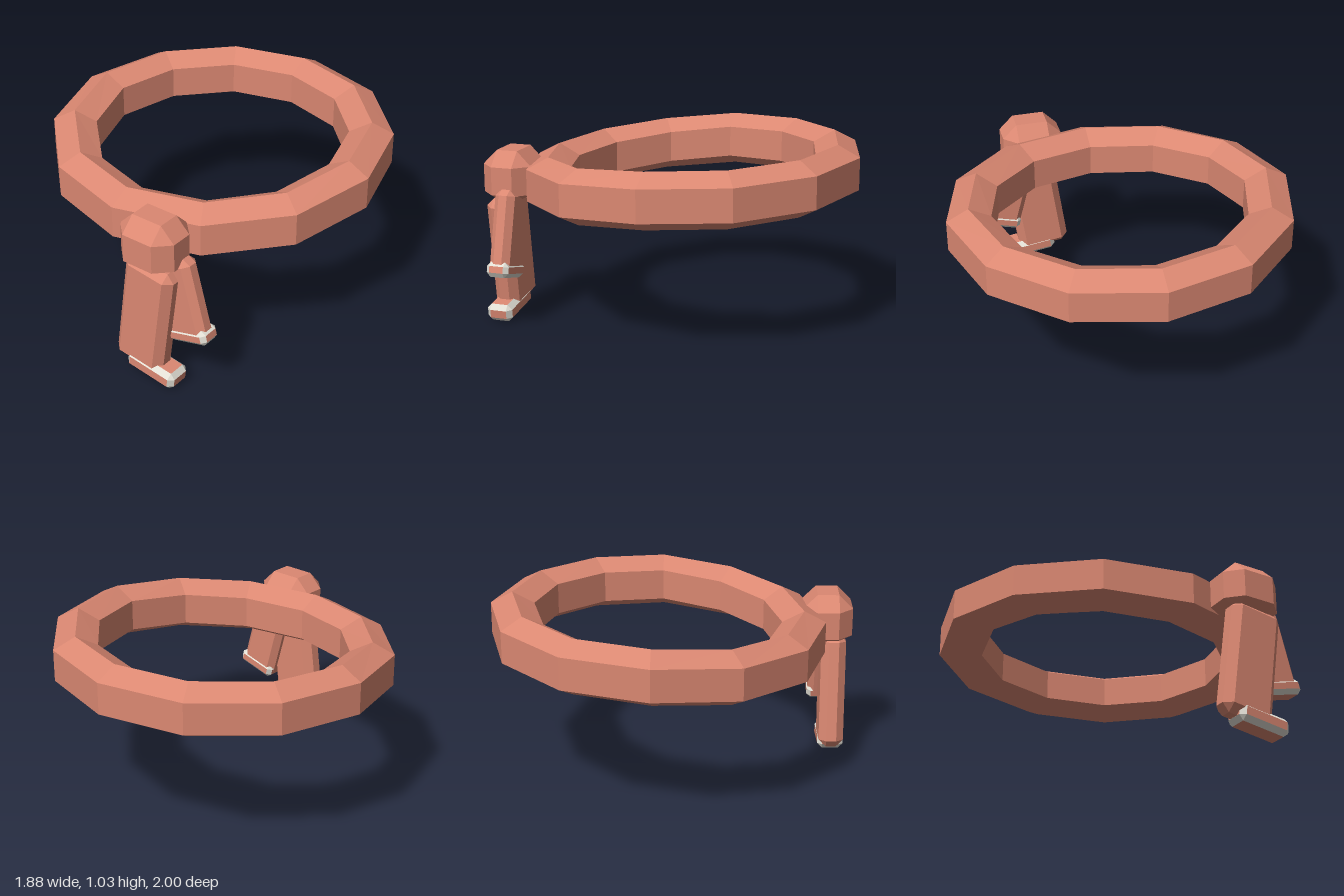
import * as THREE from 'three';

const cloth = new THREE.MeshStandardMaterial({ color: 0xdb8872 });
cloth.name = 'salmon cloth';
const trim = new THREE.MeshStandardMaterial({ color: 0xe2dfd5 });
trim.name = 'off-white trim';

// Faceted geometry from convex polygons; group 0 = main faces, group 1 = bevels
function facetGeometry(groups, isOutward) {
  const pos = [];
  const geo = new THREE.BufferGeometry();
  groups.forEach((polys, g) => {
    const start = pos.length / 3;
    for (const poly of polys) {
      const p = isOutward(poly) ? poly : [...poly].reverse();
      for (let i = 1; i < p.length - 1; i++) {
        for (const v of [p[0], p[i], p[i + 1]]) pos.push(v.x, v.y, v.z);
      }
    }
    geo.addGroup(start, pos.length / 3 - start, g);
  });
  geo.setAttribute('position', new THREE.Float32BufferAttribute(pos, 3));
  geo.computeVertexNormals();
  return geo;
}

// Box with bevelled edges and corners: half sizes h, bevel c, bottom bevel cb
function bevelBox(h, c, cb = c) {
  const vert = (axis, s) => {
    const v = s.map((sign, i) => {
      const cut = i === axis ? 0 : (i === 1 && sign < 0 ? cb : c);
      return sign * (h[i] - cut);
    });
    return new THREE.Vector3(...v);
  };
  const signs = (a, sa, b, sb, d, sd) => {
    const s = [0, 0, 0];
    s[a] = sa; s[b] = sb; s[d] = sd;
    return s;
  };
  const faces = [], bevels = [];
  for (let a = 0; a < 3; a++) {
    const b = (a + 1) % 3, d = (a + 2) % 3;
    for (const sa of [-1, 1]) {
      faces.push([[-1, -1], [1, -1], [1, 1], [-1, 1]]
        .map(([sb, sd]) => vert(a, signs(a, sa, b, sb, d, sd))));
      for (const sb of [-1, 1]) {
        bevels.push([[a, -1], [a, 1], [b, 1], [b, -1]]
          .map(([axis, sd]) => vert(axis, signs(a, sa, b, sb, d, sd))));
      }
    }
  }
  for (const x of [-1, 1]) for (const y of [-1, 1]) for (const z of [-1, 1]) {
    bevels.push([0, 1, 2].map((axis) => vert(axis, [x, y, z])));
  }
  return facetGeometry([faces, bevels], (p) => {
    const n = p[1].clone().sub(p[0]).cross(p[2].clone().sub(p[0]));
    return n.dot(p[0]) > 0;
  });
}

// Twelve-sided band with a hexagonal section, sagging toward the front
function bandGeometry() {
  const sides = 12;
  const section = [
    [0.12, -0.0875], [0.12, 0.0875], [0, 0.15],
    [-0.12, 0.0875], [-0.12, -0.0875], [0, -0.15],
  ];
  const ring = (k) => {
    const t = (k / sides) * Math.PI * 2;
    const s = Math.sin(t), c = Math.cos(t);
    const y = 0.857 - c * (c > 0 ? 0.072 : 0.023);
    return section.map(([r, dy]) => new THREE.Vector3(
      (0.82 + r) * s, y + dy, -0.083 + (0.798 + r) * c));
  };
  const quads = [];
  for (let k = 0; k < sides; k++) {
    const p = ring(k), q = ring(k + 1);
    for (let i = 0; i < 6; i++) {
      const j = (i + 1) % 6;
      quads.push([p[i], q[i], q[j], p[j]]);
    }
  }
  return facetGeometry([quads], () => true);
}

export function createModel() {
  const model = new THREE.Group();
  model.name = 'knottedBand';

  const add = (name, geo, materials, [x, y, z], tilt = 0) => {
    const mesh = new THREE.Mesh(geo, materials);
    mesh.name = name;
    mesh.position.set(x, y, z);
    mesh.rotation.z = THREE.MathUtils.degToRad(tilt);
    model.add(mesh);
  };
  const plain = [cloth, cloth];
  const edged = [cloth, trim];

  add('band', bandGeometry(), [cloth], [0, 0, 0]);
  add('knot', bevelBox([0.17, 0.138, 0.14], 0.08, 0.04), plain, [0.3, 0.822, 0.86]);

  // Hanging ends with pale-edged tips
  add('frontTail', bevelBox([0.15, 0.33, 0.07], 0.042), plain, [0.28, 0.385, 0.9], -8);
  add('frontTip', bevelBox([0.152, 0.05, 0.074], 0.027), edged, [0.328, 0.068, 0.902], -8);
  add('backTail', bevelBox([0.117, 0.235, 0.058], 0.034), plain, [0.455, 0.515, 0.833], 15);
  add('backTip', bevelBox([0.122, 0.042, 0.064], 0.024), edged, [0.512, 0.325, 0.833], 15);

  return model;
}
